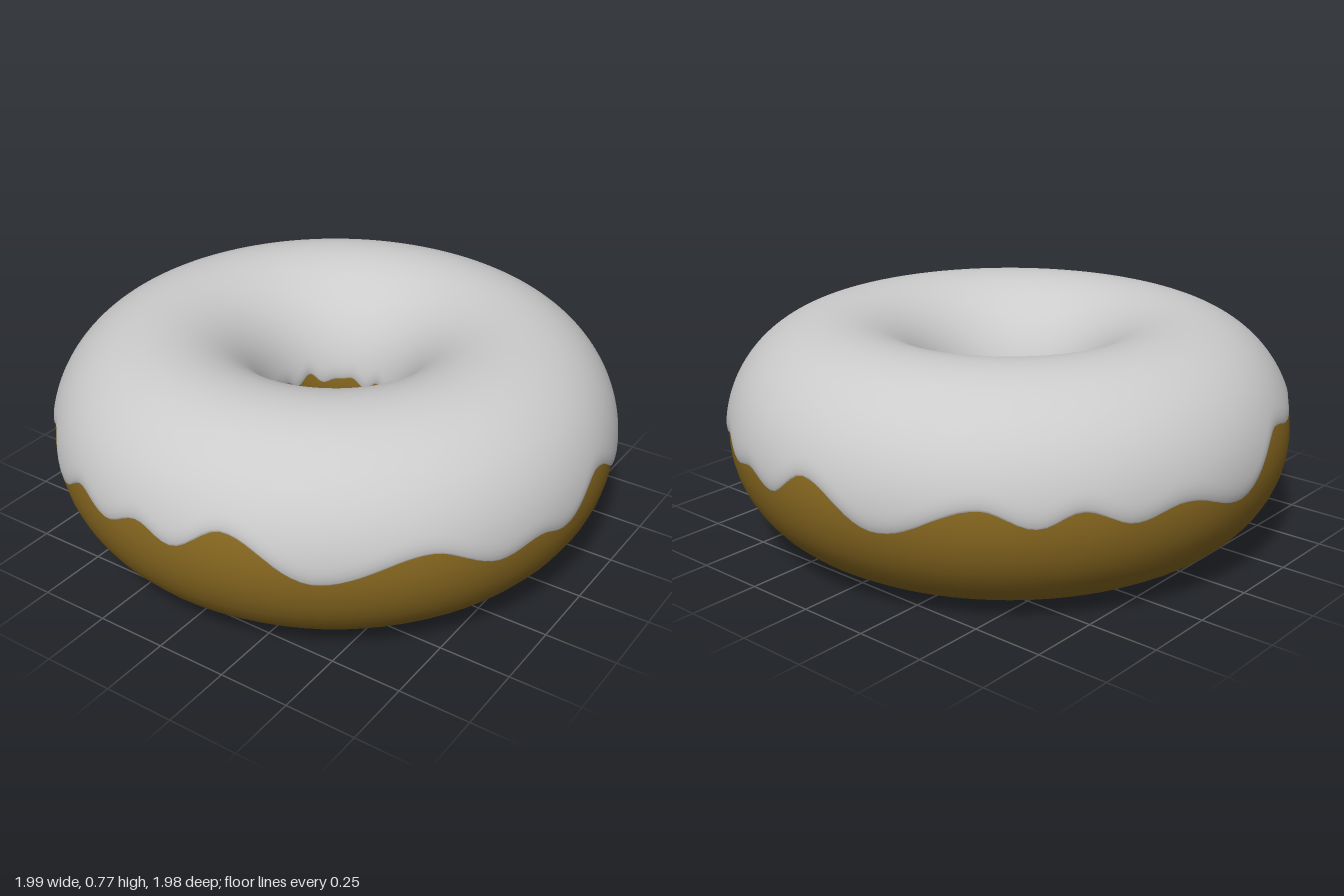
import * as THREE from 'three';
import { ParametricGeometry } from 'three/addons/geometries/ParametricGeometry.js';

const RING = 0.61; // radius of the ring's centre line

// Lower rim of the icing: [heading in degrees from the front towards +x, height]
const RIM = [
  [3, 0.4], [13.5, 0.495], [31, 0.35], [51, 0.435], [66, 0.343], [75, 0.37], [82, 0.34],
  [94.5, 0.45], [112, 0.31], [128, 0.42], [137, 0.355], [147, 0.41], [155, 0.355],
  [162, 0.38], [170, 0.34], [180, 0.44], [196, 0.31], [215, 0.42], [225, 0.36],
  [233, 0.41], [243, 0.35], [253, 0.385], [268, 0.32], [284, 0.49], [294.5, 0.455],
  [301, 0.48], [311.5, 0.42], [318.5, 0.46], [328, 0.34], [338, 0.425], [346.5, 0.38], [355.5, 0.44],
];

// Eased blend between neighbouring rim points, wrapping round the ring
function rimHeight(phi) {
  let deg = THREE.MathUtils.euclideanModulo(THREE.MathUtils.radToDeg(phi), 360);
  if (deg < RIM[0][0]) deg += 360;
  let i = RIM.length - 1;
  while (RIM[i][0] > deg) i--;
  const [a, ya] = RIM[i];
  const [b, yb] = i + 1 < RIM.length ? RIM[i + 1] : [RIM[0][0] + 360, RIM[0][1]];
  const k = (1 - Math.cos(Math.PI * (deg - a) / (b - a))) / 2;
  return ya + (yb - ya) * k;
}

// Rim of the icing inside the hole
const holeRimHeight = (phi) =>
  0.395 + 0.02 * Math.cos(phi + Math.PI / 4) + 0.014 * Math.sin(11 * phi) + 0.008 * Math.sin(17 * phi);

// u runs round the ring, v runs over the top from the outer rim into the hole
function icingPoint(u, v, target) {
  const centreY = 0.383, thickness = 0.018, inner = 0.372;
  const phi = u * Math.PI * 2;
  const start = Math.asin((rimHeight(phi) - centreY) / 0.39);
  const end = Math.PI - Math.asin((holeRimHeight(phi) - centreY) / 0.39);
  const t = start + (end - start) * v;
  // rounded lip where the icing meets the dough
  const s = Math.max(0, Math.min(1, v / 0.06, (1 - v) / 0.06));
  const r = inner + thickness * Math.sqrt(1 - (1 - s) ** 2);
  const radius = RING + r * Math.cos(t);
  target.set(radius * Math.sin(phi), centreY + r * Math.sin(t), radius * Math.cos(phi));
}

export function createModel() {
  const group = new THREE.Group();
  group.name = 'doughnut';

  // Dough ring
  const dough = new THREE.Mesh(
    new THREE.TorusGeometry(RING, 0.38, 40, 80).rotateX(-Math.PI / 2).translate(0, 0.38, 0),
    new THREE.MeshStandardMaterial({ color: 0x886820 })
  );
  dough.name = 'dough';
  group.add(dough);

  // Icing shell with a dripping rim
  const icing = new THREE.Mesh(
    new ParametricGeometry(icingPoint, 216, 60),
    new THREE.MeshStandardMaterial({ color: 0xcccccc, side: THREE.DoubleSide })
  );
  icing.name = 'icing';
  group.add(icing);

  return group;
}
